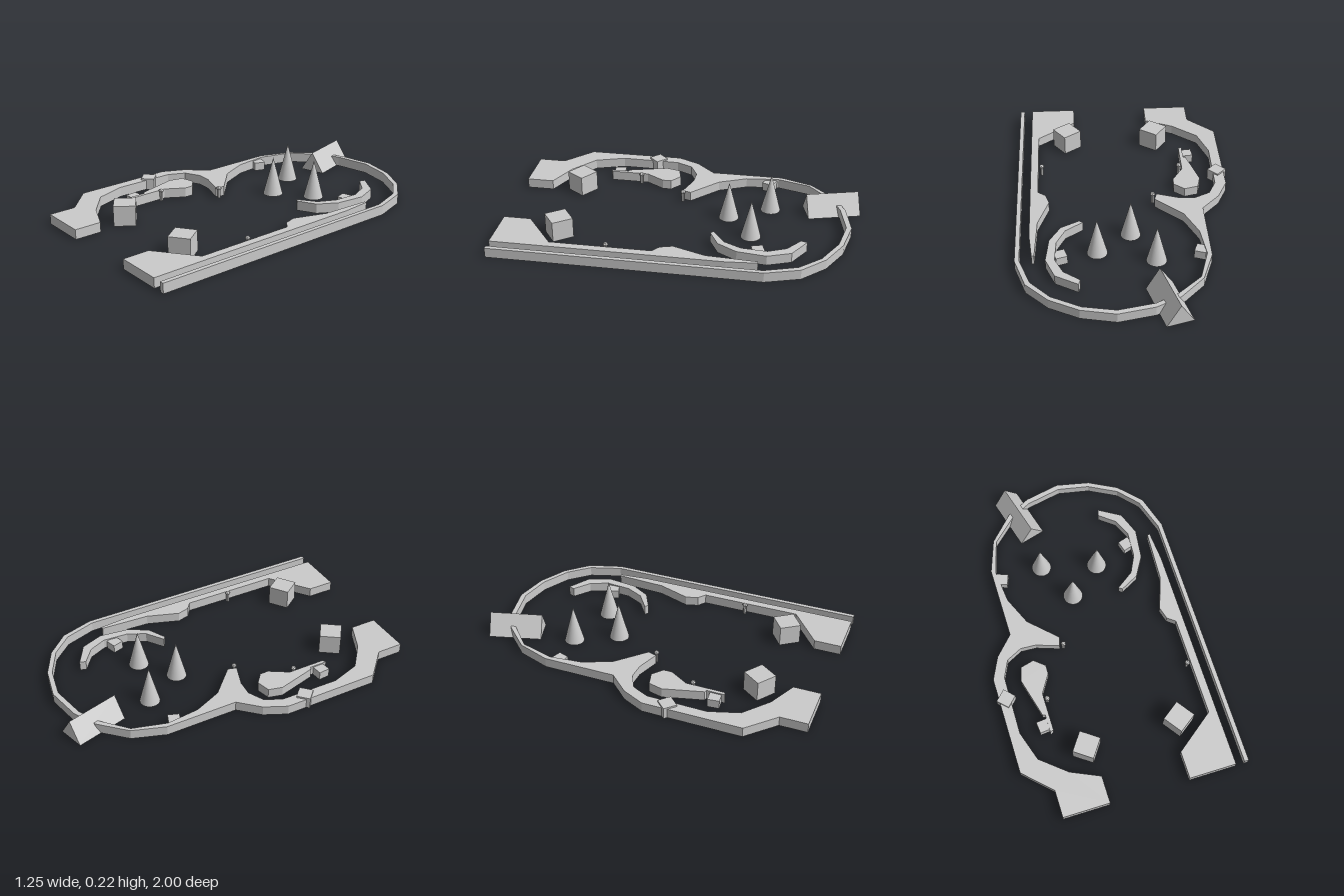
import * as THREE from 'three';

const material = new THREE.MeshStandardMaterial({ color: 0xcccccc, flatShading: true });
const smooth = new THREE.MeshStandardMaterial({ color: 0xcccccc });
const WALL = 0.057;

export function createModel() {
  const group = new THREE.Group();

  const add = (name, geometry, x = 0, y = 0, z = 0, turn = 0, mat = material) => {
    const mesh = new THREE.Mesh(geometry, mat);
    mesh.name = name;
    mesh.position.set(x, y, z);
    mesh.rotation.y = turn;
    group.add(mesh);
    return mesh;
  };

  // Upright wall from a floor plan of [x, z] points
  const addWall = (name, plan) => {
    const shape = new THREE.Shape(plan.map(([x, z]) => new THREE.Vector2(x, -z)));
    const geometry = new THREE.ExtrudeGeometry(shape, { depth: WALL, bevelEnabled: false });
    geometry.rotateX(-Math.PI / 2);
    add(name, geometry);
  };

  // Box standing on the floor
  const addBlock = (name, x, z, size, height, turn) =>
    add(name, new THREE.BoxGeometry(size, height, size), x, height / 2, z, turn);

  // Launch lane, top arch and left side wall in one run
  addWall('outerWall', [
    [0.62, 1], [0.62, -0.51], [0.56, -0.7], [0.44, -0.825], [0.28, -0.91], [0.09, -0.95],
    [-0.11, -0.91], [-0.245, -0.84], [-0.38, -0.7], [-0.445, -0.515], [-0.445, -0.1],
    [-0.55, 0.01], [-0.61, 0.135], [-0.61, 0.695], [-0.455, 0.845], [-0.455, 1],
    [-0.185, 1], [-0.185, 0.845], [-0.35, 0.77], [-0.495, 0.65], [-0.55, 0.48],
    [-0.545, 0.14], [-0.5, 0.045], [-0.41, 0], [-0.32, 0.005], [-0.19, 0.05],
    [-0.175, 0], [-0.33, -0.15], [-0.4, -0.31], [-0.42, -0.5], [-0.365, -0.69],
    [-0.23, -0.815], [-0.11, -0.88], [0.09, -0.92], [0.27, -0.885], [0.43, -0.8],
    [0.535, -0.685], [0.595, -0.505], [0.595, 1],
  ]);

  addWall('rightWall', [
    [0.275, 1], [0.545, 1], [0.545, -0.3], [0.53, -0.47], [0.515, -0.47], [0.5, -0.185],
    [0.435, 0], [0.455, 0.07], [0.5, 0.105], [0.5, 0.675], [0.275, 0.845],
  ]);

  addWall('innerArc', [
    [0.28, -0.715], [0.405, -0.64], [0.455, -0.51], [0.435, -0.345], [0.37, -0.235],
    [0.265, -0.18], [0.245, -0.195], [0.345, -0.265], [0.395, -0.365], [0.405, -0.51],
    [0.36, -0.61], [0.27, -0.68],
  ]);

  addWall('laneGuide', [
    [-0.44, 0.11], [-0.36, 0.09], [-0.3, 0.14], [-0.3, 0.19], [-0.365, 0.295],
    [-0.365, 0.515], [-0.385, 0.525], [-0.385, 0.42], [-0.4, 0.415], [-0.46, 0.19],
  ]);

  // Cone bumpers
  for (const [x, z] of [[-0.148, -0.477], [0.172, -0.395], [-0.02, -0.248]]) {
    add('coneBumper', new THREE.ConeGeometry(0.057, 0.225, 32), x, 0.1125, z, 0, smooth);
  }

  // Large blocks at the lower end
  addBlock('leftBlock', -0.217, 0.665, 0.122, 0.118, -0.62);
  addBlock('rightBlock', 0.322, 0.665, 0.122, 0.118, 0.62);

  // Small targets set against the walls
  addBlock('target', -0.57, 0.265, 0.078, 0.067, Math.PI / 4);
  addBlock('target', -0.395, -0.45, 0.065, 0.05, -0.35);
  addBlock('target', 0.375, -0.455, 0.065, 0.05, 0.3);
  addBlock('target', -0.41, 0.475, 0.066, 0.05, 0.1);

  // Thin posts with rounded heads
  const postProfile = [[0, 0], [0.01, 0], [0.01, 0.05], [0.016, 0.06], [0.01, 0.069], [0, 0.073]]
    .map(([r, y]) => new THREE.Vector2(r, y));
  for (const [x, z] of [[-0.167, 0.045], [-0.348, 0.33], [0.48, 0.363]]) {
    add('post', new THREE.LatheGeometry(postProfile, 6), x, 0, z);
  }

  // Triangular ramp straddling the top arch
  const triangle = new THREE.Shape([
    new THREE.Vector2(-0.077, 0), new THREE.Vector2(0.077, 0), new THREE.Vector2(0, 0.12),
  ]);
  const ramp = new THREE.ExtrudeGeometry(triangle, { depth: 0.306, bevelEnabled: false });
  ramp.translate(0, 0, -0.153);
  add('ramp', ramp, -0.187, 0, -0.83, 0.275);

  return group;
}
